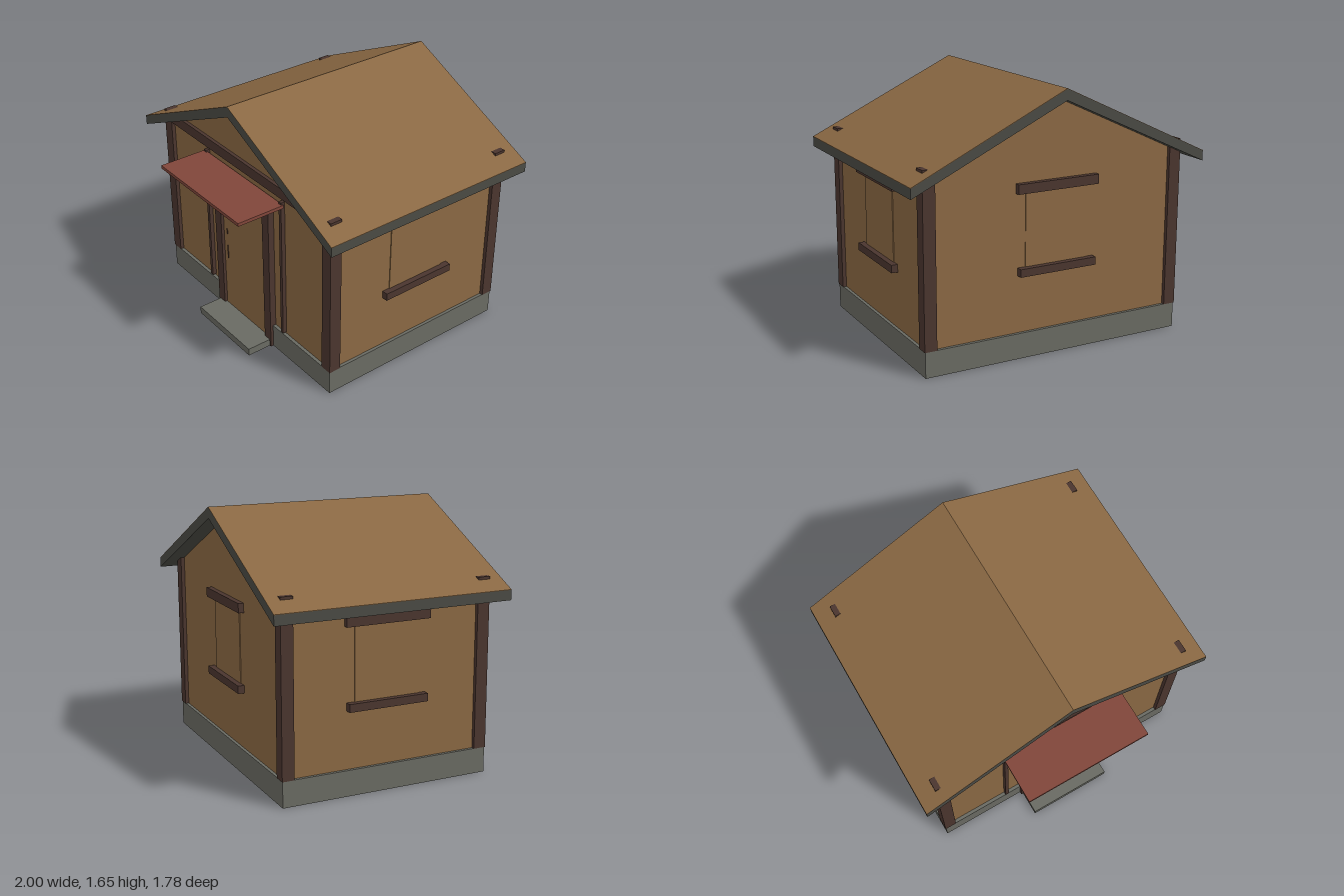
import * as THREE from 'three';

const mat = (name, color, side = THREE.FrontSide) => {
  const m = new THREE.MeshStandardMaterial({ color, side });
  m.name = name;
  return m;
};

export function createModel() {
  const tan = mat('tan boards', 0x8a6843);
  const stone = mat('grey stone', 0x696a62, THREE.DoubleSide);
  const slate = mat('dark roof edge', 0x4a4a44);
  const timber = mat('dark timber', 0x4a352e);
  const red = mat('red canopy', 0x80463a);

  const house = new THREE.Group();
  house.name = 'cottage';

  // Box given by its limits on each axis
  const box = (name, m, x0, x1, y0, y1, z0, z1, parent = house) => {
    const mesh = new THREE.Mesh(new THREE.BoxGeometry(x1 - x0, y1 - y0, z1 - z0), m);
    mesh.position.set((x0 + x1) / 2, (y0 + y1) / 2, (z0 + z1) / 2);
    mesh.name = name;
    parent.add(mesh);
    return mesh;
  };

  // Profile in x,y drawn out from z0 to z1
  const prism = (name, m, points, z0, z1) => {
    const shape = new THREE.Shape(points.map(([x, y]) => new THREE.Vector2(x, y)));
    const geo = new THREE.ExtrudeGeometry(shape, { depth: z1 - z0, bevelEnabled: false });
    geo.translate(0, 0, z0);
    const mesh = new THREE.Mesh(geo, m);
    mesh.name = name;
    house.add(mesh);
  };

  // Hollow foundation, open below, with a gap at the doorway
  const X = 0.885, F = 0.572, B = -0.802, H = 0.163, T = 0.008;
  box('foundationBack', stone, -X, X, 0, H, B, B + T);
  box('foundationTop', stone, -X, X, H - T, H, B, F);
  for (const s of [-1, 1]) {
    const side = s < 0 ? [-X, -X + T] : [X - T, X];
    box('foundationSide', stone, ...side, 0, H, B, F);
    const front = s < 0 ? [-X, -0.27] : [0.27, X];
    box('foundationFront', stone, ...front, 0, H, F - T, F);
  }

  // Walls with gables
  const W = 0.865, WF = 0.55, WB = -0.782;
  prism('walls', tan, [[-W, H], [W, H], [W, 1.2], [0, 1.6], [-W, 1.2]], WB, WF);

  // Roof slab and its boarded slopes
  const R0 = -0.892, R1 = 0.658;
  prism('roofSlab', slate,
    [[-1, 1.115], [0, 1.58], [1, 1.115], [1, 1.178], [0, 1.648], [-1, 1.178]], R0, R1);
  prism('roofBoards', tan,
    [[-1, 1.178], [0, 1.648], [1, 1.178], [1, 1.181], [0, 1.651], [-1, 1.181]], R0, R1);

  // Corner posts, their tops breaking through the roof
  for (const s of [-1, 1]) {
    for (const [z0, z1] of [[0.494, 0.575], [-0.806, -0.728]]) {
      const x = s < 0 ? [-0.89, -0.81] : [0.81, 0.89];
      box('cornerPost', timber, ...x, H, 1.25, z0, z1);
    }
  }
  box('frontBeam', timber, -0.885, 0.885, 1.178, 1.248, 0.5, 0.573);

  // Window facing +z, centred on x, then turned onto a wall
  const addWindow = (name, x, z, turn) => {
    const g = new THREE.Group();
    g.name = name;
    box('windowPane', tan, -0.212, 0.212, 0.575, 1.03, -0.004, 0.005, g);
    box('windowLintel', timber, -0.278, 0.278, 1.035, 1.095, -0.01, 0.035, g);
    box('windowSill', timber, -0.263, 0.263, 0.525, 0.575, -0.01, 0.041, g);
    g.position.set(x, 0, z);
    g.rotation.y = turn;
    house.add(g);
  };
  addWindow('leftWindow', W, -0.118, Math.PI / 2);
  addWindow('rightWindow', -W, -0.118, -Math.PI / 2);
  addWindow('backWindow', 0, WB, Math.PI);

  // Door, frame and step
  box('door', tan, -0.226, 0.226, 0.05, 1.03, 0.566, 0.575);
  box('doorHandle', timber, -0.188, -0.184, 0.62, 0.66, 0.573, 0.58);
  box('doorPull', timber, -0.188, -0.184, 0.43, 0.53, 0.573, 0.58);
  box('doorHeader', timber, -0.323, 0.323, 1.04, 1.118, 0.54, 0.605);
  box('doorStep', stone, -0.285, 0.285, 0, 0.05, 0.572, 0.757);

  // Door posts and slim canopy poles
  for (const s of [-1, 1]) {
    const post = s < 0 ? [-0.299, -0.232] : [0.232, 0.299];
    box('doorPost', timber, ...post, 0, 1.04, 0.545, 0.592);
    const pole = s < 0 ? [-0.416, -0.392] : [0.392, 0.416];
    box('canopyPole', timber, ...pole, 0.175, 1.153, 0.55, 0.577);
  }
  box('canopy', red, -0.425, 0.425, 1.117, 1.139, 0.565, 0.892);

  return house;
}
